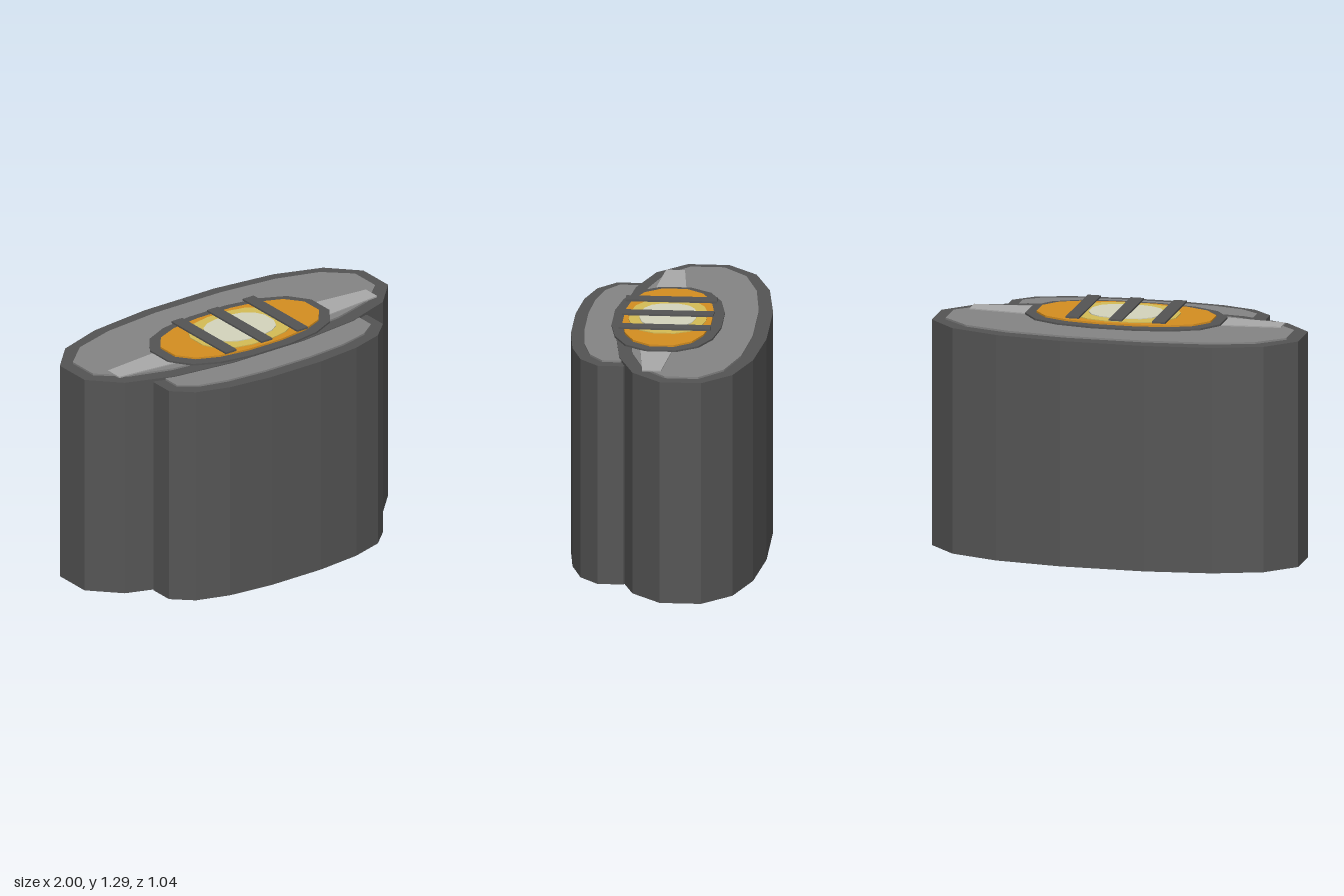
import * as THREE from 'three';

const material = (name, color) => {
  const m = new THREE.MeshStandardMaterial({ color });
  m.name = name;
  return m;
};

// One quadrant of the faceted, slightly squared oval shared by most parts
const QUADRANT = [[1, 0.275], [0.85, 0.665], [0.59, 0.89], [0.23, 1]];

function oval(rx, rz) {
  const q = QUADRANT.map(([x, z]) => [x * rx, z * rz]);
  const half = [...q, ...q.map(([x, z]) => [-x, z]).reverse()];
  return [...half, ...half.map(([x, z]) => [-x, -z])];
}

// Upright prism over an outline in the ground plane
function prism(outline, z, bottom, top) {
  const shape = new THREE.Shape(outline.map(([x, d]) => new THREE.Vector2(x, -d)));
  const geo = new THREE.ExtrudeGeometry(shape, { depth: top - bottom, bevelEnabled: false });
  return geo.rotateX(-Math.PI / 2).translate(0, bottom, z);
}

export function createModel() {
  const group = new THREE.Group();
  const dark = material('charcoal', 0x555555);
  const grey = material('mid grey', 0x858585);
  const silver = material('silver', 0xaaaaaa);
  const amber = material('amber', 0xd68f20);
  const yellow = material('pale yellow', 0xd6be57);
  const cream = material('cream', 0xd6d6be);

  const add = (name, geo, mat) => {
    const mesh = new THREE.Mesh(geo, mat);
    mesh.name = name;
    group.add(mesh);
  };

  // Two overlapping oval columns, each with an inset top plate
  add('mainBody', prism(oval(1, 0.4), -0.125, 0, 1.232), dark);
  add('mainTopPlate', prism(oval(0.93, 0.325), -0.125, 1.23, 1.242), grey);
  add('frontBody', prism(oval(0.705, 0.25), 0.27, 0, 1.218), dark);
  add('frontTopPlate', prism(oval(0.64, 0.18), 0.27, 1.215, 1.228), grey);

  // Tapered band running under the lamp
  const band = [[0.85, 0.05], [0.5, 0.085], [-0.5, 0.085], [-0.85, 0.05],
    [-0.85, -0.05], [-0.5, -0.085], [0.5, -0.085], [0.85, -0.05]];
  add('crossBand', prism(band, 0.04, 1.24, 1.248), silver);

  // Stacked lamp layers, from the rim to the bright centre
  const layers = [
    ['lampRim', 0.532, 0.292, 1.247, 1.257, dark],
    ['lampLens', 0.475, 0.235, 1.257, 1.267, amber],
    ['lampGlow', 0.285, 0.205, 1.267, 1.272, yellow],
    ['lampCore', 0.195, 0.15, 1.272, 1.277, cream],
  ];
  for (const [name, rx, rz, bottom, top, mat] of layers) {
    add(name, prism(oval(rx, rz), 0.015, bottom, top), mat);
  }

  // Guard bars across the lamp
  for (const x of [-0.235, 0, 0.235]) {
    add('guardBar', new THREE.BoxGeometry(0.072, 0.01, 0.486).translate(x, 1.287, 0.015), dark);
  }
  return group;
}
